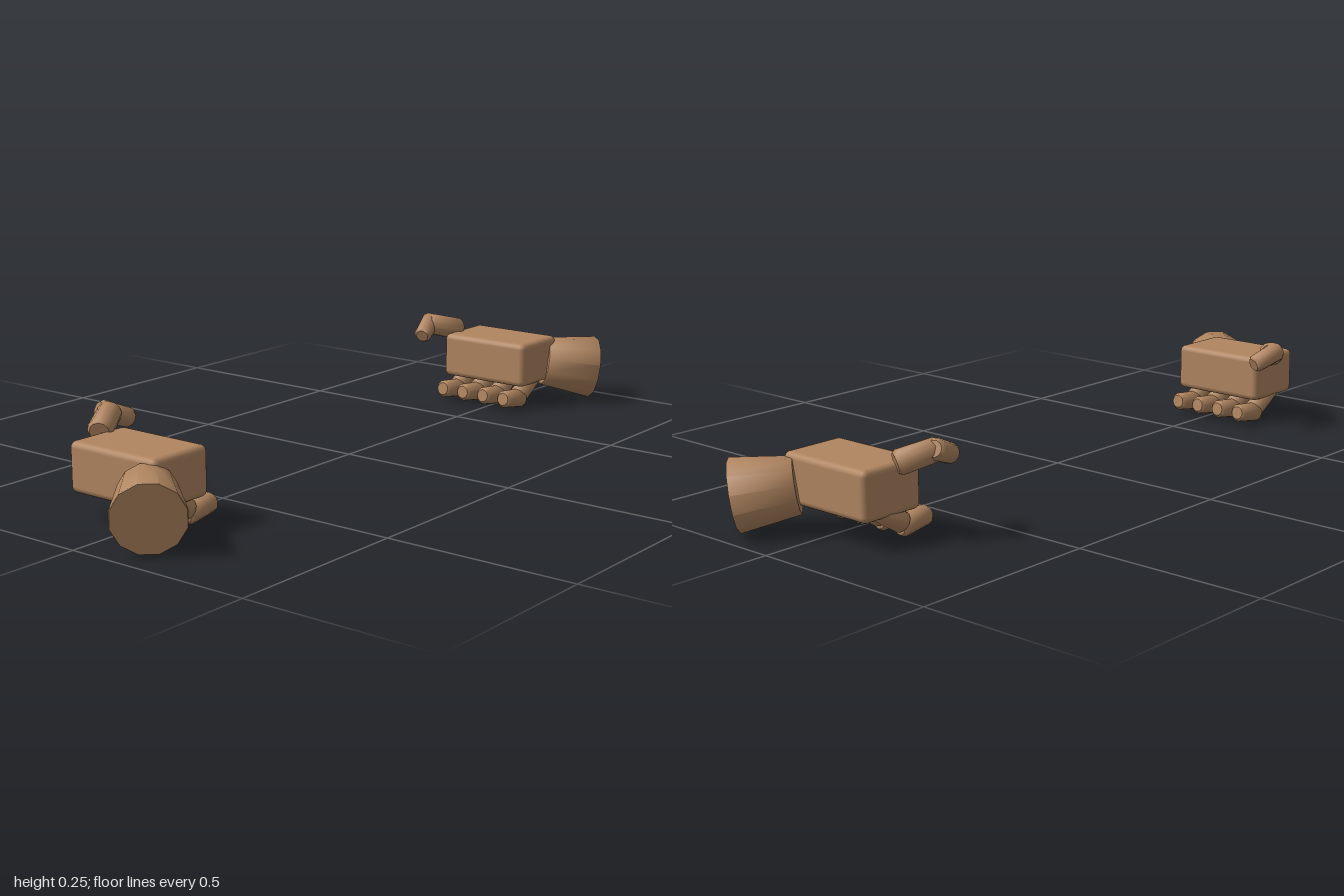
import * as THREE from 'three';
import { toCreasedNormals } from 'three/addons/utils/BufferGeometryUtils.js';
import { RoundedBoxGeometry } from 'three/addons/geometries/RoundedBoxGeometry.js';

const SIDES = 12;
const skin = new THREE.MeshStandardMaterial({ color: 0xb08560 });

// Lathed segment between two points, with bevelled rims
function segment(name, from, to, r0, r1, bevel) {
  const a = new THREE.Vector3(...from);
  const dir = new THREE.Vector3(...to).sub(a);
  const len = dir.length();
  const profile = [
    [0, 0], [r0 - bevel * 0.8, 0], [r0, bevel],
    [r1, len - bevel], [r1 - bevel * 0.8, len], [0, len],
  ].map(([x, y]) => new THREE.Vector2(x, y));
  const geometry = toCreasedNormals(new THREE.LatheGeometry(profile, SIDES), 0.85);
  const mesh = new THREE.Mesh(geometry, skin);
  mesh.name = name;
  mesh.position.copy(a);
  mesh.quaternion.setFromUnitVectors(new THREE.Vector3(0, 1, 0), dir.normalize());
  return mesh;
}

// side = 1 for the left hand (+x), -1 for the right hand
function createHand(side) {
  const hand = new THREE.Group();
  hand.name = side > 0 ? 'leftHand' : 'rightHand';
  const at = (x, y, z) => [side * x, y, z];

  // Palm block
  const palm = new THREE.Mesh(new RoundedBoxGeometry(0.18, 0.126, 0.276, 2, 0.016), skin);
  palm.name = 'palm';
  palm.position.set(...at(0.758, 0.133, -0.027));
  hand.add(palm);

  // Flared wrist
  hand.add(segment('wrist', at(0.94, 0.095, 0.178), at(0.835, 0.117, 0.075), 0.09, 0.07, 0.002));

  // Four curled fingers, two segments each
  ['indexFinger', 'middleFinger', 'ringFinger', 'littleFinger'].forEach((name, i) => {
    const z = -0.135 + i * 0.07;
    const finger = new THREE.Group();
    finger.name = name;
    finger.add(
      segment('knuckleSegment', at(0.79, 0.095, z), at(0.7, 0.036, z), 0.028, 0.027, 0.009),
      segment('tipSegment', at(0.715, 0.029, z), at(0.62, 0.042, z), 0.027, 0.025, 0.009),
    );
    hand.add(finger);
  });

  // Bent thumb
  const thumb = new THREE.Group();
  thumb.name = 'thumb';
  thumb.add(
    segment('thumbBase', at(0.748, 0.195, -0.163), at(0.658, 0.222, -0.215), 0.032, 0.03, 0.009),
    segment('thumbTip', at(0.688, 0.228, -0.226), at(0.603, 0.194, -0.199), 0.027, 0.025, 0.009),
  );
  hand.add(thumb);
  return hand;
}

export function createModel() {
  const model = new THREE.Group();
  model.name = 'pairOfHands';
  model.add(createHand(1), createHand(-1));
  return model;
}
